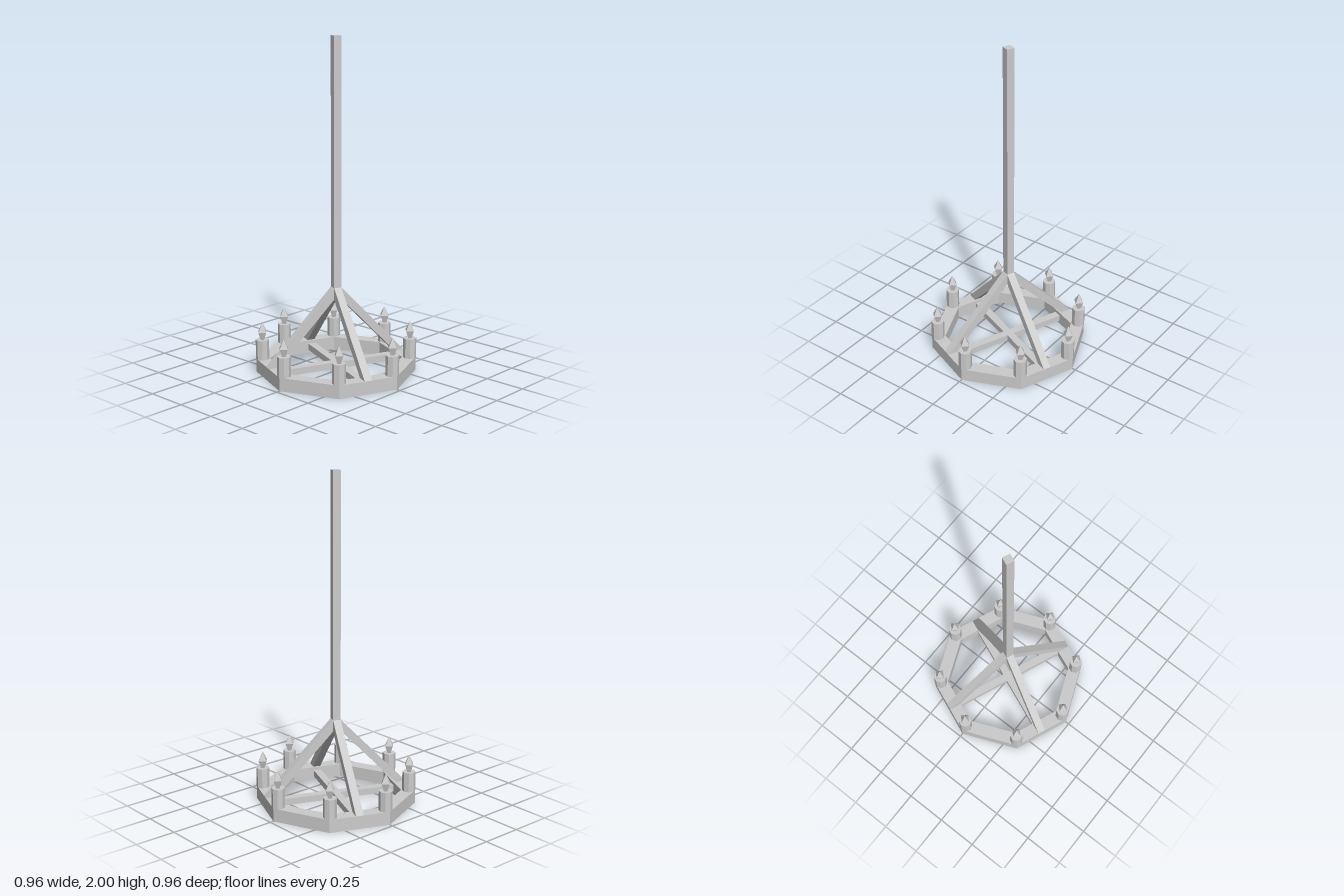
import * as THREE from 'three';

const material = new THREE.MeshStandardMaterial({ color: 0xcccccc, flatShading: true });
const BEAM = 0.047; // common timber width
const RING_H = 0.08;

function add(parent, name, geometry) {
  const mesh = new THREE.Mesh(geometry, material);
  mesh.name = name;
  parent.add(mesh);
  return mesh;
}

// Points of an octagon with corners on the axes
function octagon(radius) {
  return Array.from({ length: 8 }, (_, i) => {
    const a = (i * Math.PI) / 4;
    return new THREE.Vector2(radius * Math.cos(a), radius * Math.sin(a));
  });
}

export function createModel() {
  const model = new THREE.Group();
  model.name = 'chandelier';

  // Octagonal wooden ring
  const ringShape = new THREE.Shape(octagon(0.478));
  ringShape.holes.push(new THREE.Path(octagon(0.395)));
  const ringGeometry = new THREE.ExtrudeGeometry(ringShape, { depth: RING_H, bevelEnabled: false });
  ringGeometry.rotateX(-Math.PI / 2);
  add(model, 'ring', ringGeometry);

  // Frame turned so its timbers meet the middles of the ring's sides
  const frame = new THREE.Group();
  frame.name = 'frame';
  frame.rotation.y = -Math.PI / 8;
  model.add(frame);

  // Hanging pole
  const pole = add(frame, 'pole', new THREE.BoxGeometry(BEAM, 1.48, BEAM));
  pole.position.y = 1.26;

  // Crossed beams inside the ring
  for (let i = 0; i < 2; i++) {
    const beam = add(frame, 'crossBeam', new THREE.BoxGeometry(0.78, 0.04, BEAM));
    beam.position.y = 0.04;
    beam.rotation.y = (i * Math.PI) / 2;
  }

  // Four sloping struts from the ring up to the pole
  const strutShape = new THREE.Shape([
    new THREE.Vector2(0, 0.475),
    new THREE.Vector2(0.378, RING_H),
    new THREE.Vector2(0.441, RING_H),
    new THREE.Vector2(BEAM / 2, 0.52),
    new THREE.Vector2(0, 0.52),
  ]);
  const strutGeometry = new THREE.ExtrudeGeometry(strutShape, { depth: BEAM, bevelEnabled: false });
  strutGeometry.translate(0, 0, -BEAM / 2);
  for (let i = 0; i < 4; i++) {
    add(frame, 'strut', strutGeometry).rotation.y = (i * Math.PI) / 2;
  }

  // A candle with a faceted flame on every corner
  const candleGeometry = new THREE.CylinderGeometry(0.04, 0.04, 0.12, 8);
  const flameGeometry = new THREE.LatheGeometry([
    new THREE.Vector2(0, 0.195),
    new THREE.Vector2(0.015, 0.2),
    new THREE.Vector2(0.033, 0.247),
    new THREE.Vector2(0, 0.305),
  ], 4);
  octagon(0.44).forEach((corner) => {
    const group = new THREE.Group();
    group.name = 'candle';
    group.position.set(corner.x, 0, corner.y);
    add(group, 'wax', candleGeometry).position.y = RING_H + 0.06;
    add(group, 'flame', flameGeometry);
    model.add(group);
  });

  return model;
}
